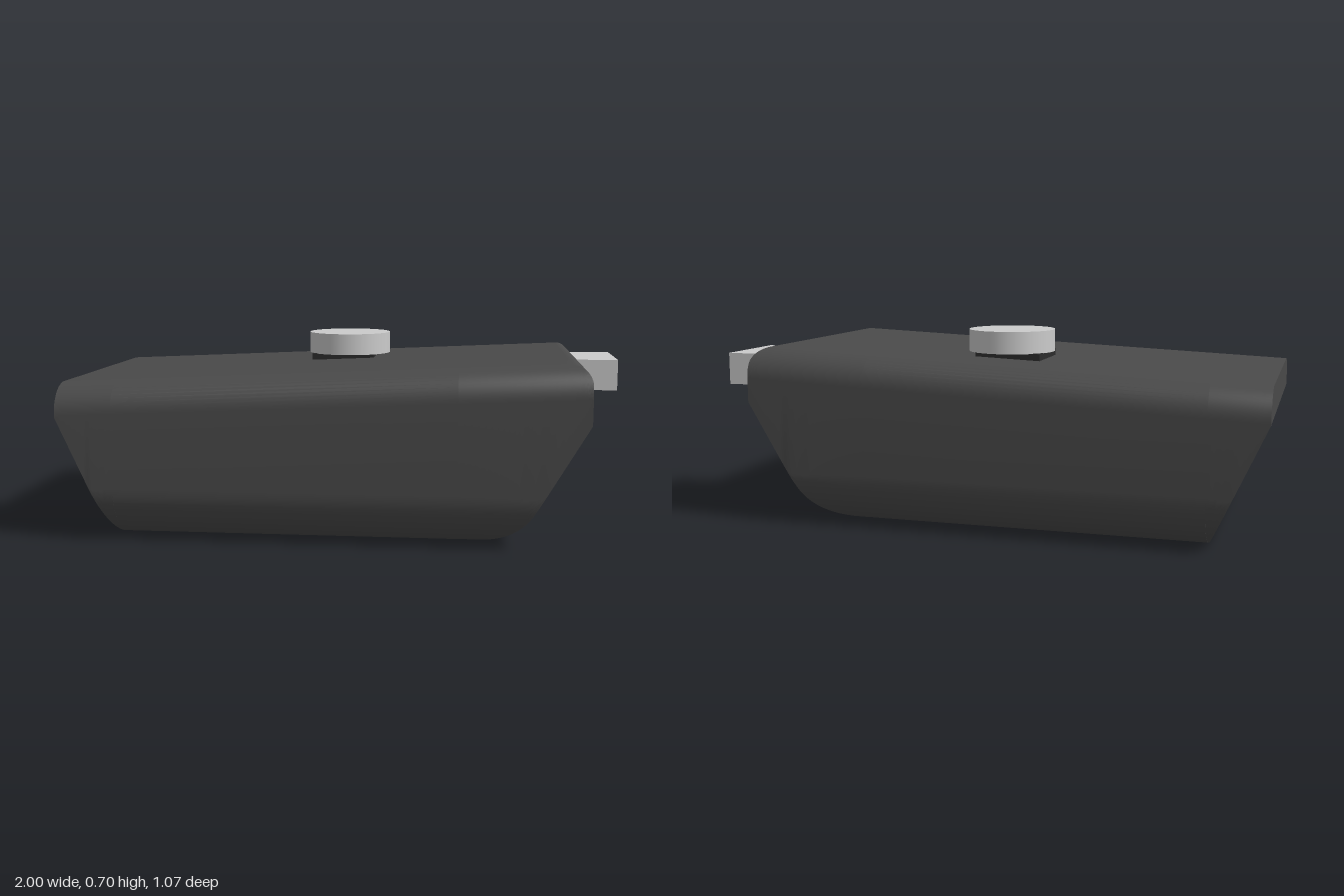
import * as THREE from 'three';
import { toCreasedNormals } from 'three/addons/utils/BufferGeometryUtils.js';

const HALF_WIDTH = 0.537, LOW_R = 0.19, TOP_R = 0.11, NOSE_X = 0.845, NOSE_R = 0.065, ARC = 12;

// Lower edge of the housing seen from the front: tail slope, flat base, curve, nose slope
function lowerEdge() {
  const pts = [];
  for (let i = 0; i <= 18; i++) {
    const y = 0.44 * (1 - i / 18) ** 2;
    pts.push(new THREE.Vector2(-0.8 - 0.2 * y / 0.44, y));
  }
  const curve = new THREE.QuadraticBezierCurve(
    new THREE.Vector2(0.4, 0), new THREE.Vector2(0.585, 0), new THREE.Vector2(0.66, 0.127));
  pts.push(...curve.getPoints(14));
  for (let i = 1; i <= 8; i++) {
    pts.push(new THREE.Vector2(0.66 + 0.185 * i / 8, 0.127 + 0.313 * i / 8));
  }
  return pts;
}

// Sloping roof plane, and the roof with its rounded nose
const roof = x => 0.555 + (x + 1) * 0.045;
function upperEdge(x) {
  const d = Math.max(0, x - (NOSE_X - NOSE_R));
  return roof(x) - NOSE_R + Math.sqrt(Math.max(0, NOSE_R ** 2 - d * d));
}

// Points of one rounded side, from the lower edge up to the upper edge
function sidePoints(x, yB, yT) {
  const pts = [];
  const arc = (radius, depth, top) => {
    const start = depth < radius ? Math.acos(1 - depth / radius) : Math.PI / 2;
    const half = [];
    for (let i = 0; i <= ARC; i++) {
      const a = start + (Math.PI / 2 - start) * i / ARC;
      const rise = depth < radius ? radius * (1 - Math.cos(a)) : depth;
      half.push([HALF_WIDTH - radius + radius * Math.sin(a), top ? roof(x) - rise : rise]);
    }
    return top ? half.reverse() : half;
  };
  pts.push(...arc(LOW_R, yB, false), ...arc(TOP_R, roof(x) - yT, true));
  return pts;
}

// Housing skinned through cross-sections along x
function housingGeometry() {
  const edge = lowerEdge();
  const stations = edge.map(p => [p.x, p.y]);
  for (let i = 0; i < 12; i++) {
    const x = NOSE_X - NOSE_R + NOSE_R * Math.sin(i / 12 * Math.PI / 2);
    stations.push([x, 0.127 + 0.313 * (x - 0.66) / 0.185]);
  }
  stations.sort((a, b) => a[0] - b[0]);

  const positions = [], index = [];
  const n = 4 * (ARC + 1);
  for (const [x, yB] of stations) {
    const side = sidePoints(x, yB, upperEdge(x));
    for (const [z, y] of side) positions.push(x, y, z);
    for (const [z, y] of side.reverse()) positions.push(x, y, -z);
  }
  const last = (stations.length - 1) * n;
  for (let i = 0; i < stations.length - 1; i++) {
    for (let j = 0; j < n; j++) {
      const a = i * n + j, b = i * n + (j + 1) % n;
      index.push(a, a + n, b + n, a, b + n, b);
    }
  }
  // End faces
  for (let j = 1; j < n - 1; j++) {
    index.push(0, j, j + 1, last, last + j + 1, last + j);
  }
  const g = new THREE.BufferGeometry();
  g.setAttribute('position', new THREE.Float32BufferAttribute(positions, 3));
  g.setIndex(index);
  return toCreasedNormals(g, 0.35);
}

export function createModel() {
  const model = new THREE.Group();
  const grey = new THREE.MeshStandardMaterial({ color: 0xcccccc });
  const dark = new THREE.MeshStandardMaterial({ color: 0x4a4a4a });
  const black = new THREE.MeshStandardMaterial({ color: 0x2c2c2c });

  const add = (name, geometry, material) => {
    const mesh = new THREE.Mesh(geometry, material);
    mesh.name = name;
    model.add(mesh);
    return mesh;
  };
  // Box given by its limits on each axis
  const block = (name, [x0, x1], [y0, y1], [z0, z1], material) =>
    add(name, new THREE.BoxGeometry(x1 - x0, y1 - y0, z1 - z0), material)
      .position.set((x0 + x1) / 2, (y0 + y1) / 2, (z0 + z1) / 2);

  add('housing', housingGeometry(), dark);

  // Round push button on its square stem
  add('button', new THREE.CylinderGeometry(0.158, 0.158, 0.08, 48), grey).position.set(-0.038, 0.656, -0.155);
  block('buttonStem', [-0.175, 0.065], [0.55, 0.617], [-0.28, -0.045], black);

  // Plug at the nose with its thin surround
  block('plug', [0.8, 1], [0.483, 0.6], [-0.395, -0.078], grey);
  block('plugSurround', [0.75, 0.848], [0.487, 0.588], [-0.39, -0.068], black);

  return model;
}
